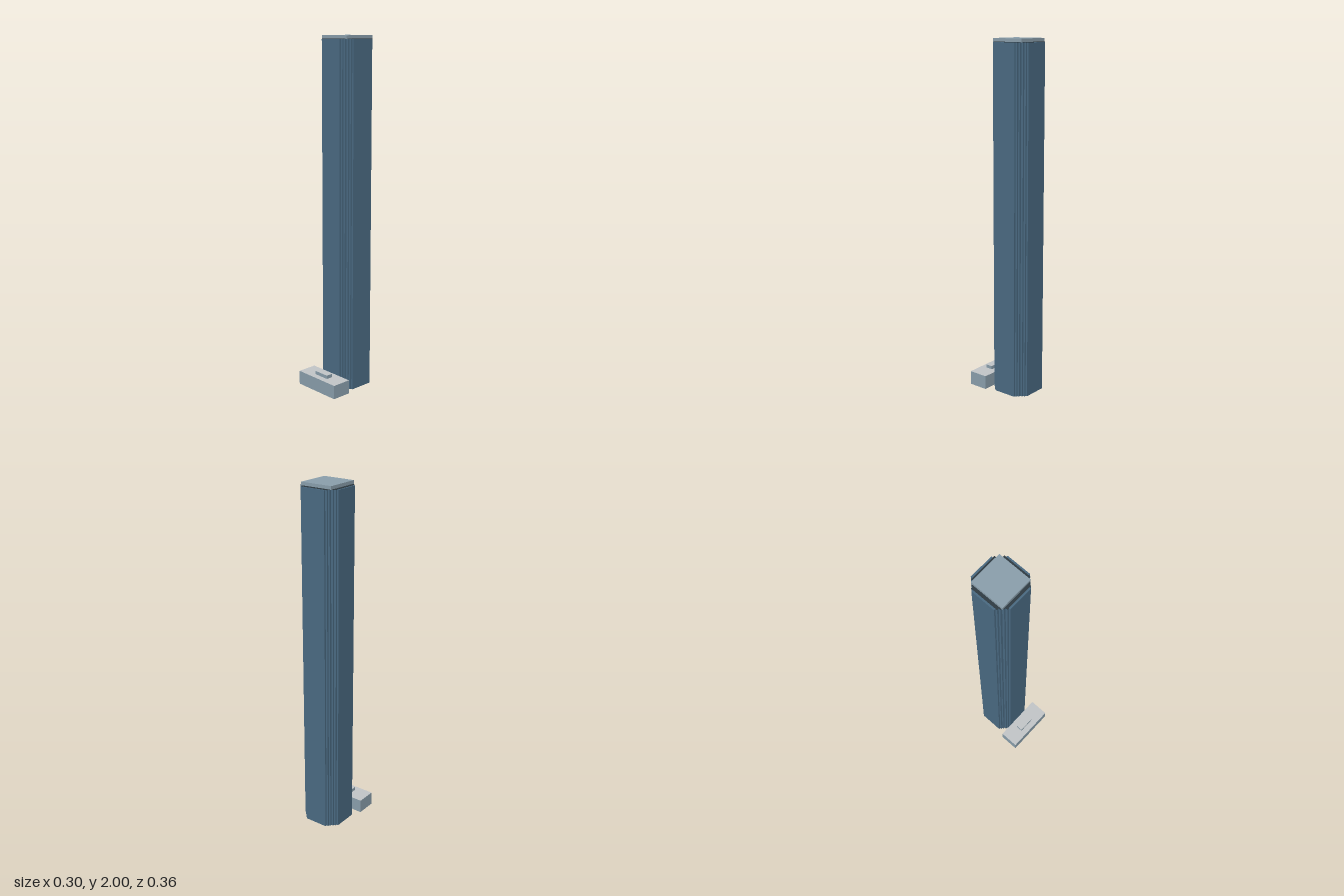
import * as THREE from 'three';

const material = (name, color) => {
  const m = new THREE.MeshStandardMaterial({ color });
  m.name = name;
  return m;
};

// Stepped square plan: each step is [half width along x, half depth along z], front to side
function steppedPlan(steps) {
  const quarter = [];
  steps.forEach(([x, z], i) => {
    if (i > 0) quarter.push([steps[i - 1][0], z]);
    quarter.push([x, z]);
  });
  const flip = (sx, sz) => quarter.map(([x, z]) => new THREE.Vector2(x * sx, z * sz));
  return new THREE.Shape([
    ...flip(1, 1), ...flip(1, -1).reverse(), ...flip(-1, -1), ...flip(-1, 1).reverse(),
  ]);
}

export function createModel() {
  const group = new THREE.Group();
  const glass = material('blue glass', 0x4a6a82);
  const cladding = material('pale blue cladding', 0x8a9fac);
  const darkRoof = material('dark roof', 0x2f3b42);
  const lightRoof = material('light grey roof', 0xc2c5c8);
  const towerZ = -0.06;

  const add = (name, geometry, mat, x, y, z) => {
    const mesh = new THREE.Mesh(geometry, mat);
    mesh.name = name;
    mesh.position.set(x, y, z);
    group.add(mesh);
  };

  // Upright prism from a stepped plan, rising from y = 0
  const prism = (steps, height) =>
    new THREE.ExtrudeGeometry(steppedPlan(steps), { depth: height, bevelEnabled: false })
      .rotateX(-Math.PI / 2);

  // Box standing on its base, with separate wall and roof colours
  const block = (name, w, h, d, y, z, walls, roof) =>
    add(name, new THREE.BoxGeometry(w, h, d),
      [walls, walls, roof, walls, walls, walls], 0, y + h / 2, z);

  // Tower shaft with stepped corners
  const corners = [[0.07, 0.1225], [0.08, 0.1125], [0.09, 0.102],
    [0.102, 0.09], [0.1125, 0.08], [0.1225, 0.07]];
  add('towerShaft', prism(corners, 1.98), glass, 0, 0, towerZ);

  // Dark roof deck inside the outer facade strips, and the raised roof slab
  add('roofDeck', prism(corners.slice(1, 5), 0.002), darkRoof, 0, 1.98, towerZ);
  block('roofSlab', 0.192, 0.02, 0.194, 1.98, towerZ, cladding, cladding);

  // Entrance building and its rooftop box
  block('entranceBuilding', 0.296, 0.08, 0.115, 0, 0.1205, cladding, lightRoof);
  block('entranceRoofBox', 0.098, 0.02, 0.041, 0.08, 0.1215, cladding, lightRoof);

  return group;
}
